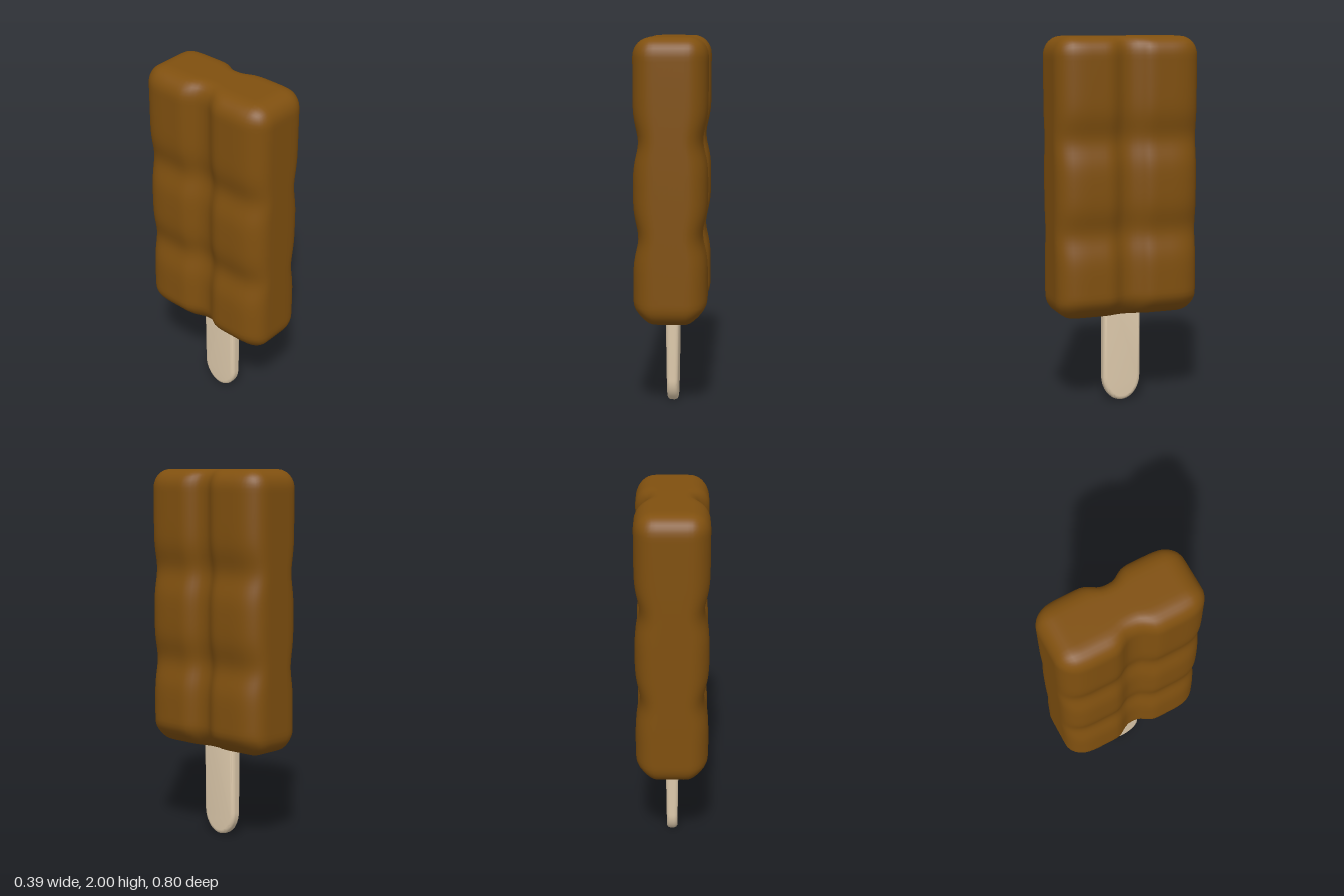
import * as THREE from 'three';
import { mergeVertices, toCreasedNormals } from 'three/addons/utils/BufferGeometryUtils.js';

const chocolate = new THREE.MeshStandardMaterial({ name: 'chocolate', color: 0x80500f });
const wood = new THREE.MeshStandardMaterial({ name: 'wood', color: 0xdecaac });

// Rounded bar with a long groove down each broad side and gentle waves along its height
function coatingGeometry() {
  const half = new THREE.Vector3(0.195, 0.75, 0.4);
  const r = 0.1;
  const geo = new THREE.BoxGeometry(half.x * 2, half.y * 2, half.z * 2, 14, 60, 32);
  geo.deleteAttribute('uv');
  geo.deleteAttribute('normal');
  const pos = geo.attributes.position;
  const inner = half.clone().subScalar(r);
  const p = new THREE.Vector3(), core = new THREE.Vector3();
  const dip = (d, w) => Math.exp(-((d / w) ** 2));
  for (let i = 0; i < pos.count; i++) {
    p.fromBufferAttribute(pos, i);
    // round every edge and corner
    core.copy(p).clamp(inner.clone().negate(), inner);
    p.sub(core).setLength(r).add(core);
    const y = p.y + 1.25;
    // groove, waves and softer ends
    const groove = 1 - 0.25 * Math.exp(-((Math.abs(p.z) / 0.08) ** 3));
    const wave = 1 - 0.14 * (dip(y - 0.96, 0.1) + dip(y - 1.46, 0.1));
    const taper = 1 - 0.08 * THREE.MathUtils.smoothstep(Math.abs(p.z), 0.24, 0.4);
    const foot = 1 - 0.18 * (1 - THREE.MathUtils.smoothstep(y, 0.5, 0.62));
    pos.setXYZ(i, p.x * groove * wave * taper * foot, y, p.z);
  }
  const merged = mergeVertices(geo, 1e-5);
  merged.computeVertexNormals();
  return merged;
}

// Flat stick with a round lower end and softened edges
function stickGeometry() {
  const b = 0.022, w = 0.108 - b;
  const shape = new THREE.Shape();
  shape.moveTo(w, 0.7);
  shape.lineTo(-w, 0.7);
  shape.lineTo(-w, 0.14);
  shape.absellipse(0, 0.14, w, 0.135 - b, Math.PI, Math.PI * 2, false);
  shape.closePath();
  const geo = new THREE.ExtrudeGeometry(shape, {
    depth: 0.02, bevelEnabled: true, bevelSize: b, bevelThickness: b, bevelSegments: 4, curveSegments: 16,
  });
  geo.translate(0, 0, -0.01);
  geo.rotateY(-Math.PI / 2);
  // slightly thicker towards the bar
  const pos = geo.attributes.position;
  for (let i = 0; i < pos.count; i++) {
    pos.setX(i, pos.getX(i) * (0.95 + 0.45 * Math.max(0, pos.getY(i) - 0.1)));
    pos.setY(i, Math.max(0, pos.getY(i) - 0.005));
  }
  return toCreasedNormals(geo, 0.9);
}

export function createModel() {
  const group = new THREE.Group();
  group.name = 'iceCreamBar';
  const coating = new THREE.Mesh(coatingGeometry(), chocolate);
  coating.name = 'chocolateCoating';
  const stick = new THREE.Mesh(stickGeometry(), wood);
  stick.name = 'stick';
  group.add(coating, stick);
  return group;
}
